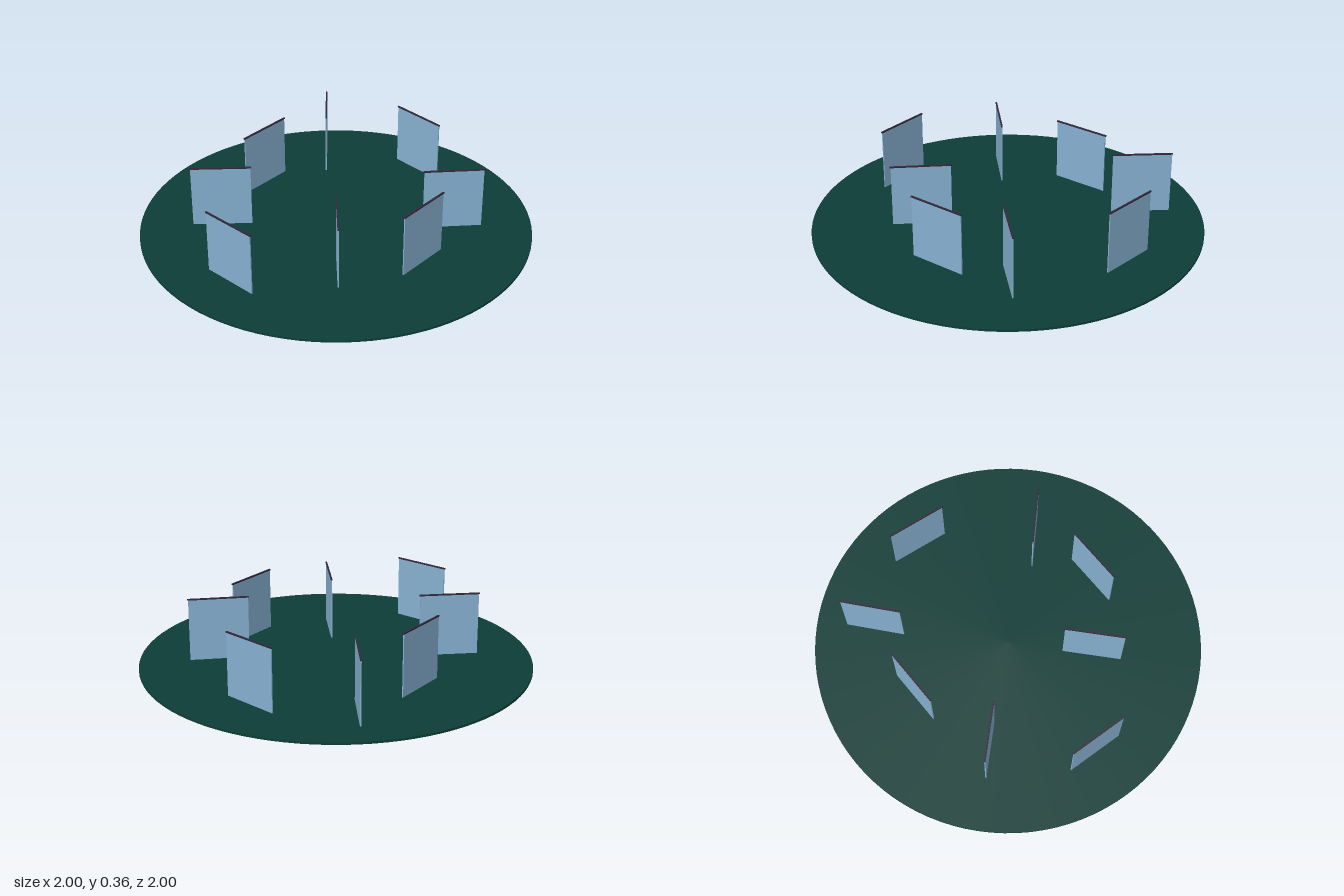
import * as THREE from 'three';

const mat = (name, color) => {
  const m = new THREE.MeshStandardMaterial({ color });
  m.name = name;
  return m;
};

export function createModel() {
  const green = mat('dark green', 0x0e3d37);
  const blue = mat('pale blue', 0x86b0d0);
  const dark = mat('dark plum', 0x33283a);
  const cyan = mat('cyan', 0x22d0e6);

  const model = new THREE.Group();
  model.name = 'panelRing';

  // Thin round floor
  const floor = new THREE.Mesh(new THREE.CylinderGeometry(1, 1, 0.012, 96), green);
  floor.name = 'floorDisc';
  floor.position.y = 0.027;
  model.add(floor);

  // Upright panel: pale sheet, dark top cap, cyan strip under the floor
  const length = 0.302;
  const layers = [
    ['sheet', blue, 0.012, 0.354, length, 0.006],
    ['topCap', dark, 0.354, 0.361, length + 0.008, 0.008],
    ['glowStrip', cyan, 0, 0.012, length + 0.008, 0.008],
  ].map(([name, material, y0, y1, w, d]) => ({
    name, material, geometry: new THREE.BoxGeometry(w, y1 - y0, d).translate(0, (y0 + y1) / 2, 0),
  }));

  // Each panel: centre x, centre z, turn about y
  const spots = [
    [0, 0.735, 0],
    [0.305, 0.313, -0.785],
    [0.558, -0.023, 1.62],
    [0.455, -0.38, 0.84],
    [-0.058, -0.708, -0.07],
    [-0.512, -0.465, -0.82],
    [-0.558, -0.04, -1.52],
    [-0.413, 0.407, 0.8],
  ];
  spots.forEach(([x, z, turn], i) => {
    const panel = new THREE.Group();
    panel.name = `panel${i + 1}`;
    for (const { name, material, geometry } of layers) {
      const mesh = new THREE.Mesh(geometry, material);
      mesh.name = name;
      panel.add(mesh);
    }
    panel.position.set(x, 0, z);
    panel.rotation.y = turn;
    model.add(panel);
  });

  return model;
}
